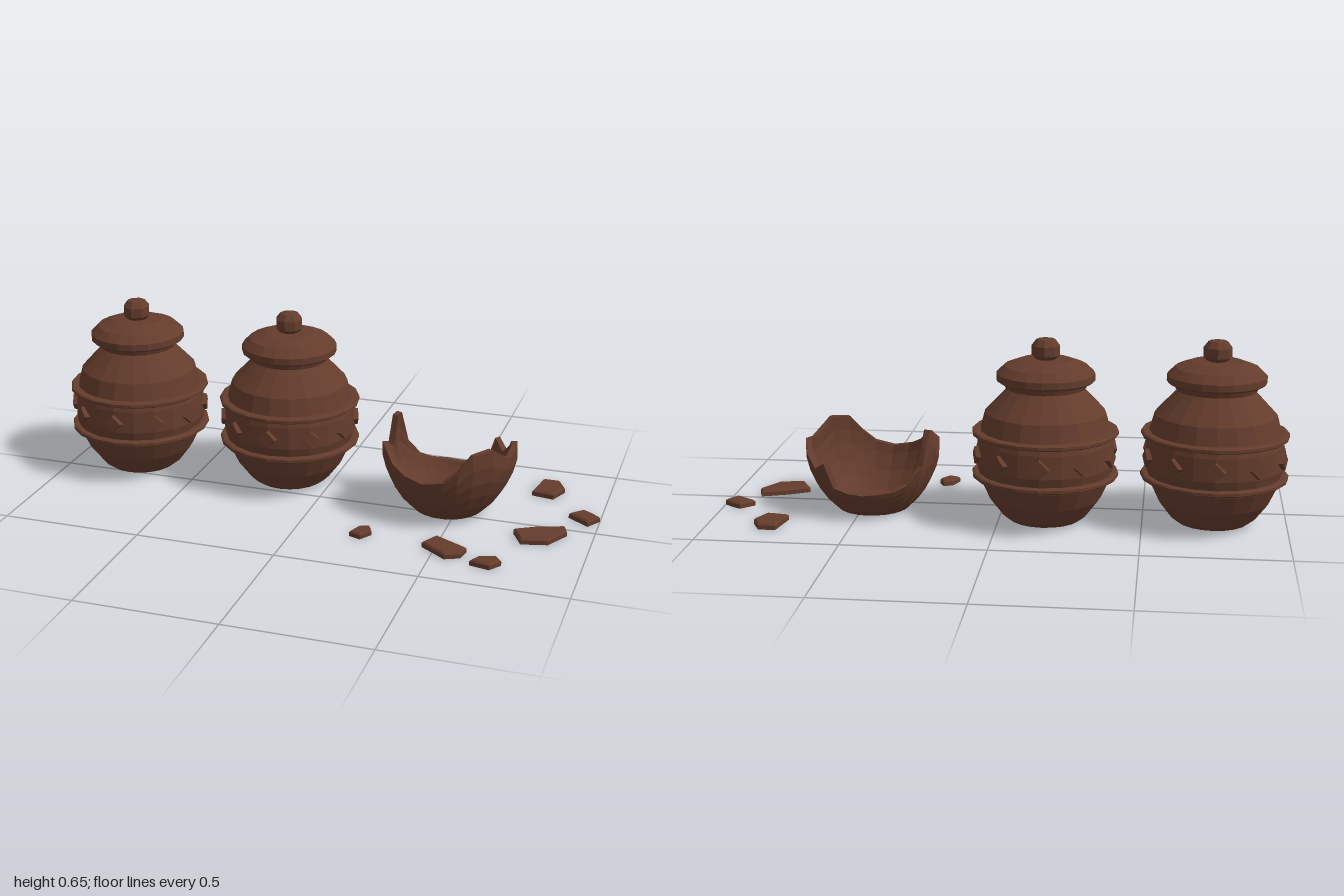
import * as THREE from 'three';

const clay = new THREE.MeshStandardMaterial({ color: 0x643c2c, flatShading: true });
clay.name = 'brown clay';

function add(parent, geometry, name) {
  const mesh = new THREE.Mesh(geometry, clay);
  mesh.name = name;
  parent.add(mesh);
  return mesh;
}

const lathe = (points, sides = 20) =>
  new THREE.LatheGeometry(points.map(([r, y]) => new THREE.Vector2(r, y)), sides);

// Outer wall shared by whole and broken pots: [radius, height]
const WALL = [[0.125, 0.006], [0.15, 0.025], [0.195, 0.085], [0.225, 0.15],
  [0.24, 0.21], [0.237, 0.29], [0.21, 0.39], [0.13, 0.475]];

function wallRadius(y) {
  for (let i = 1; i < WALL.length; i++) {
    const [r0, y0] = WALL[i - 1], [r1, y1] = WALL[i];
    if (y <= y1) return r0 + (r1 - r0) * Math.max(0, (y - y0) / (y1 - y0));
  }
  return WALL[WALL.length - 1][0];
}

function makeJar(x, z) {
  const jar = new THREE.Group();
  jar.name = 'jar';
  jar.position.set(x, 0, z);
  add(jar, lathe([[0, 0.006], ...WALL]), 'body');
  add(jar, lathe([[0.12, 0.475], [0.14, 0.475], [0.147, 0.497], [0.12, 0.497]]), 'neckRing');
  add(jar, lathe([[0, 0.495], [0.16, 0.495], [0.171, 0.503], [0.171, 0.526],
    [0.143, 0.553], [0.09, 0.573], [0, 0.575]]), 'lid');
  add(jar, lathe([[0.03, 0.57], [0.049, 0.588], [0.049, 0.622], [0.033, 0.643], [0, 0.65]], 8), 'knob');

  // Raised bands above and below the ornaments
  for (const y of [0.171, 0.32]) {
    add(jar, lathe([[0.215, y - 0.009], [0.25, y - 0.009], [0.255, y - 0.005],
      [0.255, y + 0.005], [0.25, y + 0.009], [0.215, y + 0.009]]), 'band');
  }

  // Ten bevelled diamonds around the belly
  for (let i = 0; i < 10; i++) {
    const pivot = new THREE.Group();
    pivot.name = 'diamondPivot';
    pivot.rotation.y = i * Math.PI / 5;
    const diamond = add(pivot, new THREE.CylinderGeometry(0.03, 0.037, 0.026, 4), 'diamond');
    diamond.rotation.x = Math.PI / 2;
    diamond.position.set(0, 0.246, 0.238);
    jar.add(pivot);
  }
  return jar;
}

// Broken rim: [angle in degrees from the front, height]
const RIM = [[-165, 0.105], [-150, 0.11], [-136, 0.13], [-122, 0.19], [-110, 0.312], [-104, 0.305],
  [-98, 0.2], [-84, 0.19], [-74, 0.25], [-55, 0.25], [-42, 0.215], [-28, 0.19], [-10, 0.175],
  [8, 0.19], [20, 0.23], [33, 0.288], [52, 0.298], [66, 0.26], [77, 0.243], [95, 0.255],
  [110, 0.25], [118, 0.22], [130, 0.18], [145, 0.212], [149, 0.12], [164, 0.105], [180, 0.1]];

function makeBowl() {
  const STEPS = 5, THICK = 0.022;
  // One cross-section: base centre, up the outside, down the inside, floor centre
  const columns = RIM.map(([deg, h]) => {
    const a = deg * Math.PI / 180;
    const at = (r, y) => [r * Math.sin(a), y, r * Math.cos(a)];
    const col = [at(0, 0.006)];
    for (let j = 0; j <= STEPS; j++) {
      const y = 0.006 + (h - 0.006) * j / STEPS;
      col.push(at(wallRadius(y), y));
    }
    for (let j = STEPS; j >= 0; j--) {
      const y = 0.026 + (h - 0.026) * j / STEPS;
      col.push(at(wallRadius(y) - THICK, y));
    }
    col.push(at(0, 0.026));
    return col;
  });
  const positions = [];
  columns.forEach((a, i) => {
    const b = columns[(i + 1) % columns.length];
    for (let j = 0; j < a.length - 1; j++) {
      if (j > 0) positions.push(...a[j], ...b[j], ...b[j + 1]);
      if (j < a.length - 2 || j === 0) positions.push(...a[j], ...b[j + 1], ...a[j + 1]);
    }
  });
  const geometry = new THREE.BufferGeometry();
  geometry.setAttribute('position', new THREE.Float32BufferAttribute(positions, 3));
  geometry.computeVertexNormals();
  return geometry;
}

// Shard outlines on the ground: [x, z]
const SHARDS = [
  [[0.75, -0.37], [0.81, -0.37], [0.84, -0.31], [0.81, -0.237], [0.73, -0.25]],
  [[0.89, -0.1], [0.935, -0.146], [0.97, -0.125], [1.0, -0.1], [0.965, -0.047]],
  [[0.73, 0.085], [0.8, 0.045], [0.895, 0.01], [0.91, 0.05], [0.86, 0.14], [0.77, 0.163]],
  [[0.197, 0.28], [0.215, 0.23], [0.25, 0.212], [0.268, 0.25], [0.24, 0.295]],
  [[0.455, 0.285], [0.49, 0.217], [0.61, 0.28], [0.6, 0.33], [0.55, 0.353]],
  [[0.64, 0.37], [0.66, 0.33], [0.72, 0.31], [0.742, 0.34], [0.71, 0.385]],
];

// Flat slab with a slightly narrowed top edge
function makeShard(outline) {
  const shape = new THREE.Shape(outline.map(([x, z]) => new THREE.Vector2(x, -z)));
  const geometry = new THREE.ExtrudeGeometry(shape, {
    depth: 0.015, bevelEnabled: true, bevelThickness: 0.006,
    bevelSize: 0.006, bevelOffset: -0.006, bevelSegments: 1,
  });
  geometry.rotateX(-Math.PI / 2);
  const p = geometry.attributes.position;
  for (let i = 0; i < p.count; i++) p.setY(i, Math.max(0, p.getY(i)));
  return geometry.translate(0, 0.001, 0);
}

export function createModel() {
  const model = new THREE.Group();
  model.name = 'clayPots';
  model.add(makeJar(-0.745, -0.105), makeJar(-0.16, -0.135));
  add(model, makeBowl(), 'brokenPot').position.set(0.462, 0, -0.065);
  SHARDS.forEach((outline) => add(model, makeShard(outline), 'shard'));
  return model;
}
